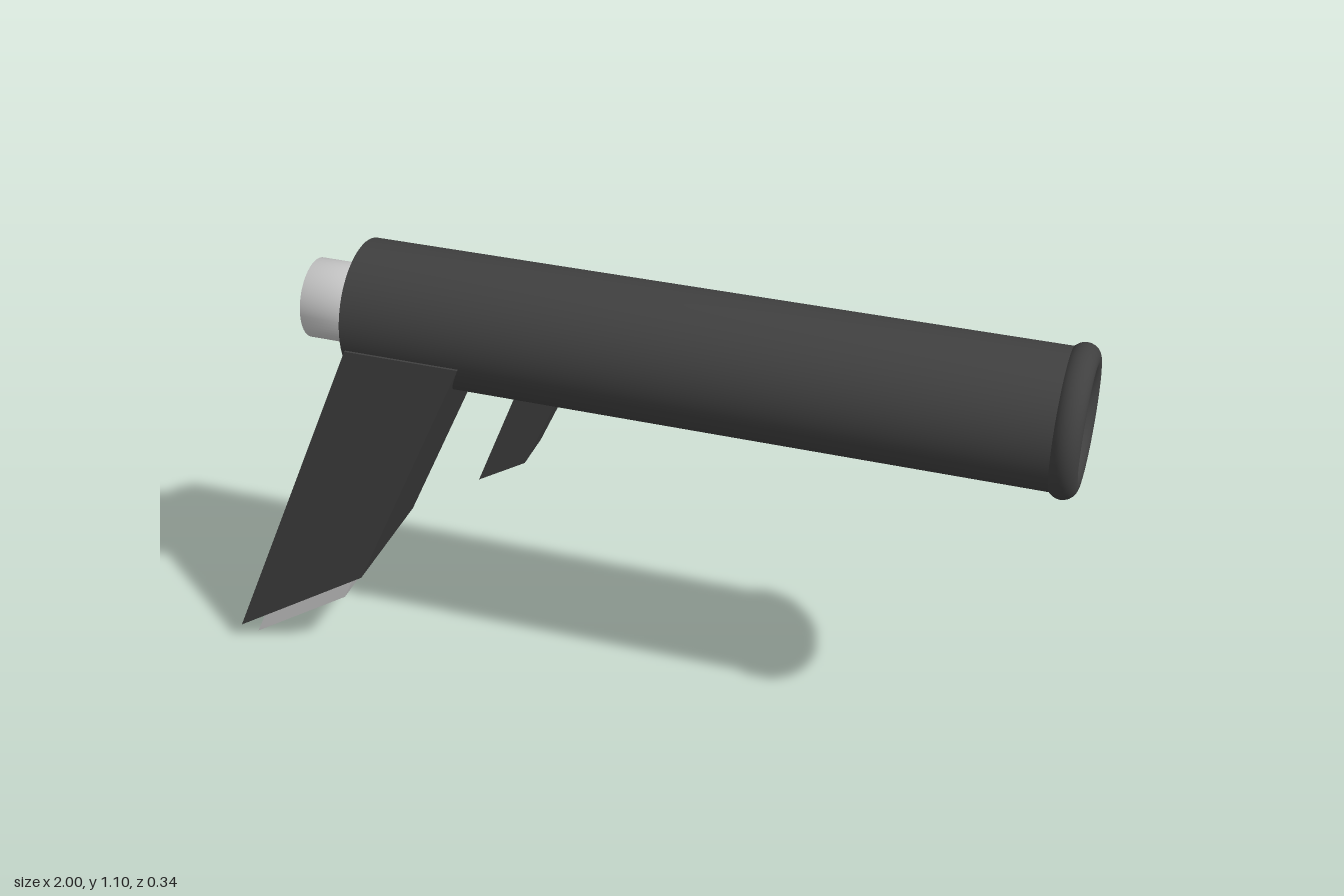
import * as THREE from 'three';
import { mergeVertices } from 'three/addons/utils/BufferGeometryUtils.js';

const AXIS_Y = 0.935;

export function createModel() {
  const model = new THREE.Group();
  const dark = new THREE.MeshStandardMaterial({ color: 0x404040 });
  const grey = new THREE.MeshStandardMaterial({ color: 0xcccccc });

  function add(name, geometry, material) {
    const mesh = new THREE.Mesh(geometry, material);
    mesh.name = name;
    model.add(mesh);
    return mesh;
  }

  // Capped cylinder along x, shaded smoothly across its rims
  function rod(name, radius, x0, x1, material) {
    const raw = new THREE.CylinderGeometry(radius, radius, x1 - x0, 64);
    raw.deleteAttribute('uv');
    raw.deleteAttribute('normal');
    const geometry = mergeVertices(raw);
    geometry.computeVertexNormals();
    geometry.rotateZ(-Math.PI / 2);
    geometry.translate((x0 + x1) / 2, AXIS_Y, 0);
    return add(name, geometry, material);
  }

  // Side outline in x and y, extruded evenly about z = 0
  function slab(name, outline, width, material) {
    const shape = new THREE.Shape(outline.map(([x, y]) => new THREE.Vector2(x, y)));
    const geometry = new THREE.ExtrudeGeometry(shape, { depth: width, bevelEnabled: false });
    geometry.translate(0, 0, -width / 2);
    return add(name, geometry, material);
  }

  // Barrel and rear bolt
  rod('barrel', 0.157, -0.66, 0.967, dark);
  rod('rearBolt', 0.093, -0.787, -0.6, grey);

  // Rounded ring around the muzzle
  const ring = new THREE.TorusGeometry(0.136, 0.033, 24, 64);
  ring.rotateY(Math.PI / 2);
  ring.translate(0.967, AXIS_Y, 0);
  add('muzzleRing', ring, dark);

  // Slanted grip, trigger, and the magazine protruding below the grip
  slab('grip', [[-1, 0.048], [-0.656, 0.27], [-0.376, 0.9], [-0.65, 0.9]], 0.317, dark);
  slab('trigger', [[-0.38, 0.545], [-0.263, 0.615], [-0.155, 0.85], [-0.258, 0.85]], 0.107, dark);
  slab('magazine', [[-0.98, 0.003], [-0.727, 0.167], [-0.637, 0.37], [-0.89, 0.206]], 0.232, grey);

  return model;
}
